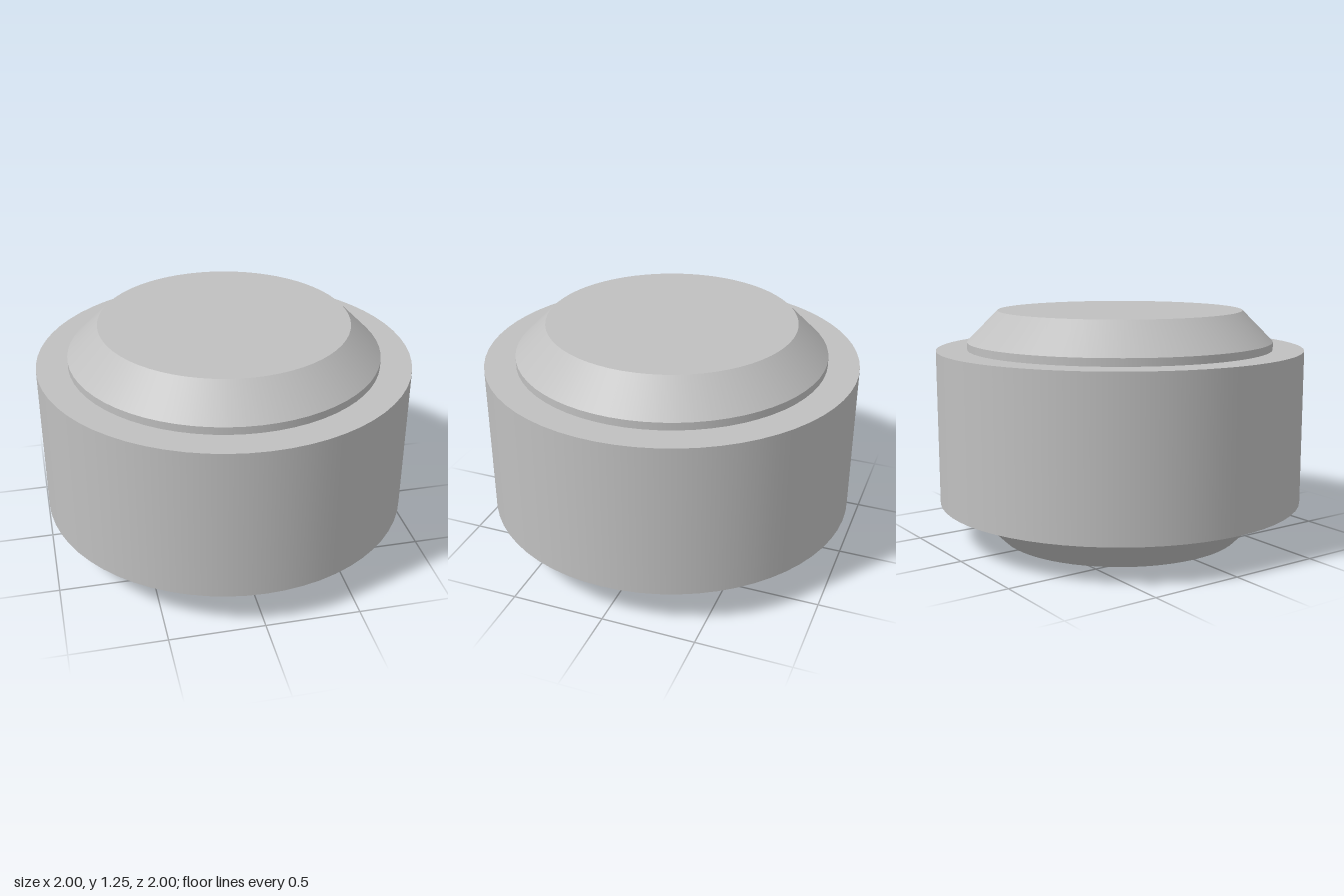
import * as THREE from 'three';
import { mergeGeometries } from 'three/addons/utils/BufferGeometryUtils.js';

const SEGMENTS = 64;

// Revolve each straight run separately, so rims stay sharp and walls stay smooth.
function turned(name, profile, material) {
  const bands = [];
  for (let i = 0; i < profile.length - 1; i++) {
    const ends = [profile[i], profile[i + 1]].map(([r, y]) => new THREE.Vector2(r, y));
    bands.push(new THREE.LatheGeometry(ends, SEGMENTS));
  }
  const mesh = new THREE.Mesh(mergeGeometries(bands), material);
  mesh.name = name;
  return mesh;
}

export function createModel() {
  const group = new THREE.Group();
  group.name = 'steppedDrum';
  const grey = new THREE.MeshStandardMaterial({ color: 0xc0c0c0 });
  grey.name = 'light grey';

  const height = 1.25;
  const capRadius = 0.667, neckRadius = 0.833, drumRadius = 1;
  const chamferTop = 0.167, drumBottom = 0.208;

  // Bevelled end: flat face, chamfer, short neck up to the drum
  const end = [[0, 0], [capRadius, 0], [neckRadius, chamferTop], [neckRadius, drumBottom]];
  const mirrored = end.map(([r, y]) => [r, height - y]).reverse();

  // Wide drum with ring-shaped shoulders
  const drum = [
    [neckRadius, drumBottom], [drumRadius, drumBottom],
    [drumRadius, height - drumBottom], [neckRadius, height - drumBottom],
  ];

  group.add(
    turned('lowerEnd', end, grey),
    turned('drum', drum, grey),
    turned('upperEnd', mirrored, grey),
  );
  return group;
}
